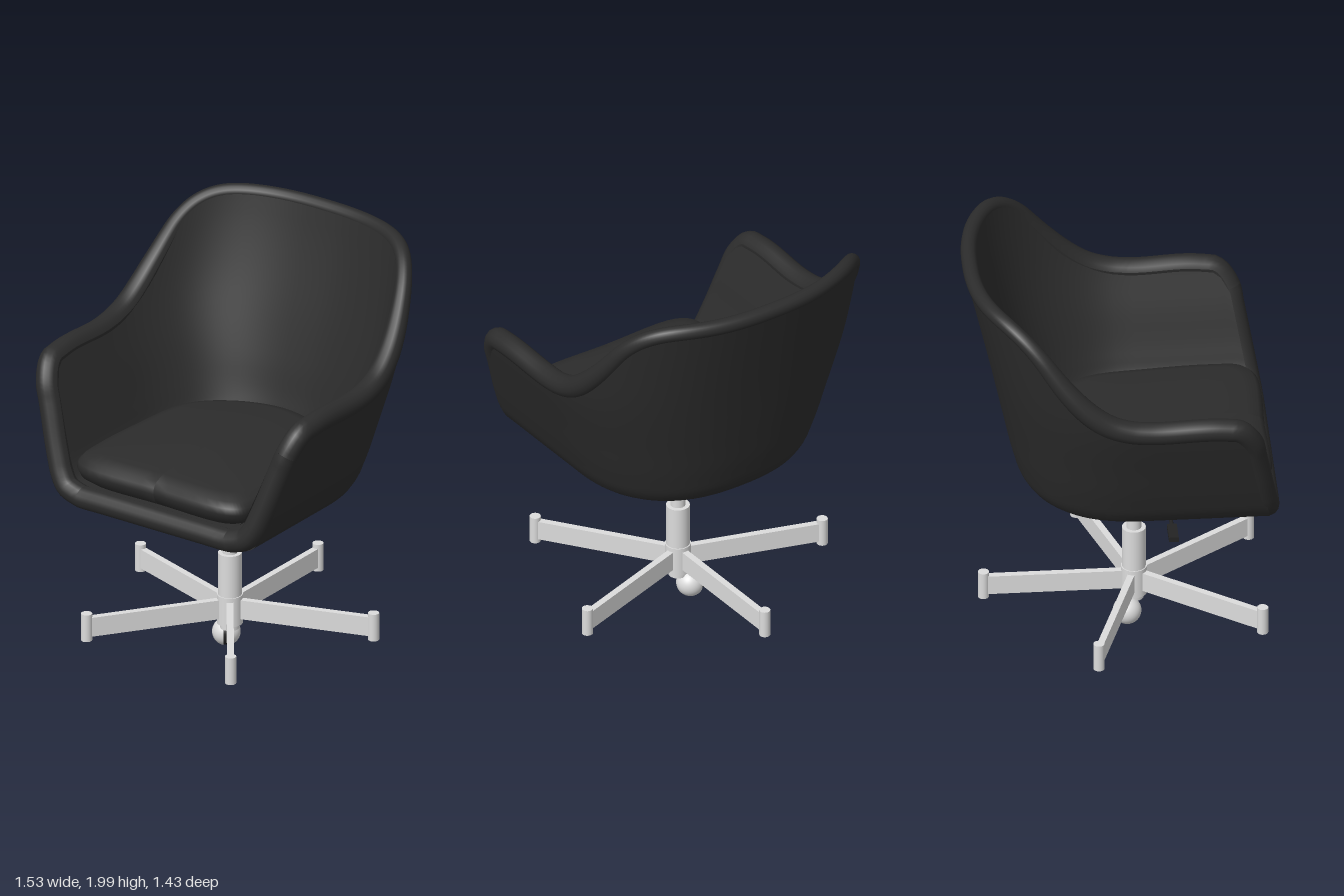
import * as THREE from 'three';

const upholstery = new THREE.MeshStandardMaterial({ name: 'black upholstery', color: 0x2c2c2c, side: THREE.DoubleSide });
const plastic = new THREE.MeshStandardMaterial({ name: 'black plastic', color: 0x232323 });
const metal = new THREE.MeshStandardMaterial({ name: 'pale metal', color: 0xdcdcdc });

// Smooth lookup through [position, value] pairs
function lookup(pairs) {
  const f = new THREE.CubicInterpolant(pairs.map(p => p[0]), pairs.map(p => p[1]), 1, new Float32Array(1));
  return t => f.evaluate(t)[0];
}

// Surface from point(i, j) over a grid of cells
function gridSurface(nu, nv, point, flip = false) {
  const pos = [], idx = [];
  for (let i = 0; i <= nu; i++) for (let j = 0; j <= nv; j++) pos.push(...point(i, j).toArray());
  for (let i = 0; i < nu; i++) for (let j = 0; j < nv; j++) {
    const a = i * (nv + 1) + j, b = a + nv + 1;
    idx.push(...(flip ? [a, a + 1, b, b, a + 1, b + 1] : [a, b, a + 1, b, b + 1, a + 1]));
  }
  const g = new THREE.BufferGeometry();
  g.setAttribute('position', new THREE.Float32BufferAttribute(pos, 3));
  g.setIndex(idx);
  g.computeVertexNormals();
  return g;
}

function add(parent, name, geometry, material, x = 0, y = 0, z = 0) {
  const m = new THREE.Mesh(geometry, material);
  m.name = name;
  m.position.set(x, y, z);
  parent.add(m);
  return m;
}

// Shell measures: half width, rear and front by height, and rim height by z
const FLOOR = 0.84, MID_Z = 0.1;
const halfWidth = lookup([[0.84, 0.46], [0.86, 0.53], [0.9, 0.57], [1.0, 0.615], [1.2, 0.68], [1.48, 0.762], [1.75, 0.8], [2, 0.82]]);
const rear = lookup([[0.84, -0.36], [0.86, -0.41], [0.9, -0.45], [1.0, -0.485], [1.2, -0.53], [1.48, -0.59], [2, -0.71]]);
const front = y => 0.675 - (y - FLOOR) * 0.185;
const rimHeight = lookup([[-0.7, 1.963], [-0.55, 1.95], [-0.47, 1.905], [-0.4, 1.835], [-0.3, 1.70], [-0.2, 1.585],
  [-0.1, 1.505], [0, 1.465], [0.1, 1.45], [0.46, 1.45], [0.53, 1.43], [0.58, 1.35]]);

const SIDE = 16, BACK = 48, NU = SIDE * 2 + BACK, FLOOR_N = 6, WALL_N = 26, NV = FLOOR_N + WALL_N;

// Point of the U-shaped plan at height y, inset by d; the wall thins towards the top
function plan(i, y, d) {
  const inset = d * (1 - 0.4 * THREE.MathUtils.smoothstep(y, 1.1, 1.95));
  const w = halfWidth(y - d) - inset, r = rear(y - d * 0.5) + inset;
  if (i <= SIDE || i >= NU - SIDE) {
    const k = Math.min(i, NU - i) / SIDE;
    return new THREE.Vector3(i <= SIDE ? w : -w, y, THREE.MathUtils.lerp(front(y), MID_Z, k));
  }
  const a = (i - SIDE) / BACK * Math.PI, c = Math.cos(a), e = 2 / 2.4;
  return new THREE.Vector3(w * Math.sign(c) * Math.abs(c) ** e, y, MID_Z - (MID_Z - r) * Math.sin(a) ** e);
}

// Point of the shell: across the floor, then up the wall to the rim
function shellPoint(i, j, d) {
  const base = FLOOR + d;
  if (j < FLOOR_N) {
    const p = plan(i, base, d);
    return new THREE.Vector3(0, base, Math.max(p.z, MID_Z)).lerp(p, j / FLOOR_N);
  }
  let top = 1.5;
  for (let n = 0; n < 8; n++) top = rimHeight(plan(i, top, 0.04).z);
  return plan(i, base + (top - base) * ((j - FLOOR_N) / WALL_N) ** 2, d);
}

function buildShell() {
  const g = new THREE.Group();
  g.name = 'tubShell';
  add(g, 'outerShell', gridSurface(NU, NV, (i, j) => shellPoint(i, j, 0)), upholstery);
  add(g, 'innerShell', gridSurface(NU, NV, (i, j) => shellPoint(i, j, 0.09), true), upholstery);

  // Padded rim runs round the top, down both arm fronts and across the seat front, slimmer at the top
  const edge = [];
  for (let i = 0; i < NU; i++) edge.push(shellPoint(i, NV, 0.04));
  for (let j = NV; j > 0; j -= 2) edge.push(shellPoint(NU, j, 0.04));
  for (let j = 0; j < NV; j += 2) edge.push(shellPoint(0, j, 0.04));
  const curve = new THREE.CatmullRomCurve3(edge, true), N = 320, M = 14;
  const { normals, binormals } = curve.computeFrenetFrames(N, true);
  const centres = curve.getSpacedPoints(N);
  add(g, 'paddedRim', gridSurface(N, M, (i, j) => {
    const a = j / M * Math.PI * 2, p = centres[i].clone();
    const r = 0.054 - 0.017 * THREE.MathUtils.smoothstep(p.y, 1.5, 1.95);
    return p.addScaledVector(normals[i], r * Math.cos(a)).addScaledVector(binormals[i], r * Math.sin(a));
  }, true), upholstery);
  return g;
}

function buildCushion() {
  const half = [[0.4, 0.685], [0.475, 0.63], [0.49, 0.5], [0.475, 0.2], [0.42, -0.14], [0.25, -0.3]];
  const outline = [[0, 0.69], ...half, [0, -0.37], ...half.map(([x, z]) => [-x, z]).reverse()];
  const curve = new THREE.CatmullRomCurve3(outline.map(([x, z]) => new THREE.Vector3(x, 0, z)), true);
  const N = 80, pts = curve.getPoints(N);
  const rings = [[0.78, 0.925], [0.9, 0.94], [0.97, 0.97], [1, 1.01], [0.99, 1.04], [0.95, 1.065], [0.84, 1.085], [0.5, 1.098], [0, 1.1]];
  const cushion = new THREE.Mesh(gridSurface(N, rings.length - 1, (i, j) => {
    const [s, y] = rings[j], p = pts[i];
    return new THREE.Vector3(p.x * s, y, 0.17 + (p.z - 0.17) * s);
  }), upholstery);
  cushion.name = 'seatCushion';
  return cushion;
}

function buildMechanism() {
  const g = new THREE.Group();
  g.name = 'tiltMechanism';
  add(g, 'mountingPlate', new THREE.BoxGeometry(0.4, 0.025, 0.49), plastic, 0, 0.832, 0.185);
  const side = new THREE.Shape([[0.01, 0.83], [0.015, 0.73], [0.04, 0.715], [0.12, 0.715], [0.24, 0.735], [0.36, 0.775], [0.375, 0.83]]
    .map(p => new THREE.Vector2(...p)).reverse());
  const body = new THREE.ExtrudeGeometry(side, { depth: 0.16, bevelThickness: 0.03, bevelSize: 0.015, bevelSegments: 4 });
  add(g, 'mechanismBody', body.rotateY(-Math.PI / 2), plastic, 0.08, 0, 0);
  for (const s of [-1, 1]) add(g, 'bracket', new THREE.BoxGeometry(0.035, 0.05, 0.14), plastic, s * 0.15, 0.80, 0.2);
  add(g, 'tensionKnob', new THREE.CylinderGeometry(0.036, 0.042, 0.07, 24), plastic, 0, 0.728, 0.305).rotation.x = -0.25;
  // Height lever on the right
  add(g, 'leverRod', new THREE.CylinderGeometry(0.009, 0.009, 0.42, 12), plastic, -0.31, 0.81, 0.22).rotation.z = Math.PI / 2;
  add(g, 'leverHandle', new THREE.BoxGeometry(0.12, 0.024, 0.045), plastic, -0.56, 0.808, 0.22);
  return g;
}

function buildBase() {
  const g = new THREE.Group();
  g.name = 'starBase';
  g.position.z = 0.085;
  const cyl = (name, r, y0, y1, mat) => add(g, name, new THREE.CylinderGeometry(r, r, y1 - y0, 32), mat, 0, (y0 + y1) / 2, 0);
  cyl('hubFoot', 0.045, 0.115, 0.15, metal);
  cyl('hub', 0.06, 0.14, 0.285, metal);
  cyl('outerColumn', 0.055, 0.28, 0.495, metal);
  cyl('innerColumn', 0.035, 0.49, 0.66, metal);
  cyl('columnCollar', 0.04, 0.645, 0.73, plastic);

  // Five legs, one pointing straight back
  for (let i = 0; i < 5; i++) {
    const leg = new THREE.Group();
    leg.name = 'leg';
    leg.rotation.y = i * Math.PI * 2 / 5;
    add(leg, 'legBar', new THREE.BoxGeometry(0.032, 0.095, 0.65), metal, 0, 0.217, -0.355);
    add(leg, 'legEnd', new THREE.CylinderGeometry(0.026, 0.026, 0.135, 20), metal, 0, 0.217, -0.695);
    g.add(leg);
  }

  // Ball caster: two domes either side of a dark core
  const caster = new THREE.Group();
  caster.name = 'ballCaster';
  caster.position.set(-0.045, 0.07, -0.035);
  caster.rotation.y = Math.PI / 5;
  for (const s of [-1, 1]) {
    const dome = new THREE.SphereGeometry(0.066, 32, 12, 0, Math.PI * 2, 0, Math.PI / 2 - 0.2);
    add(caster, 'wheelDome', dome, metal).rotation.z = s * Math.PI / 2;
  }
  add(caster, 'wheelCore', new THREE.CylinderGeometry(0.063, 0.063, 0.027, 32), plastic).rotation.z = Math.PI / 2;
  g.add(caster);
  add(g, 'casterStem', new THREE.CylinderGeometry(0.014, 0.014, 0.06, 16), plastic, -0.012, 0.1, -0.005);
  return g;
}

export function createModel() {
  const model = new THREE.Group();
  model.name = 'swivelTubChair';
  model.add(buildShell(), buildCushion(), buildMechanism(), buildBase());
  return model;
}
